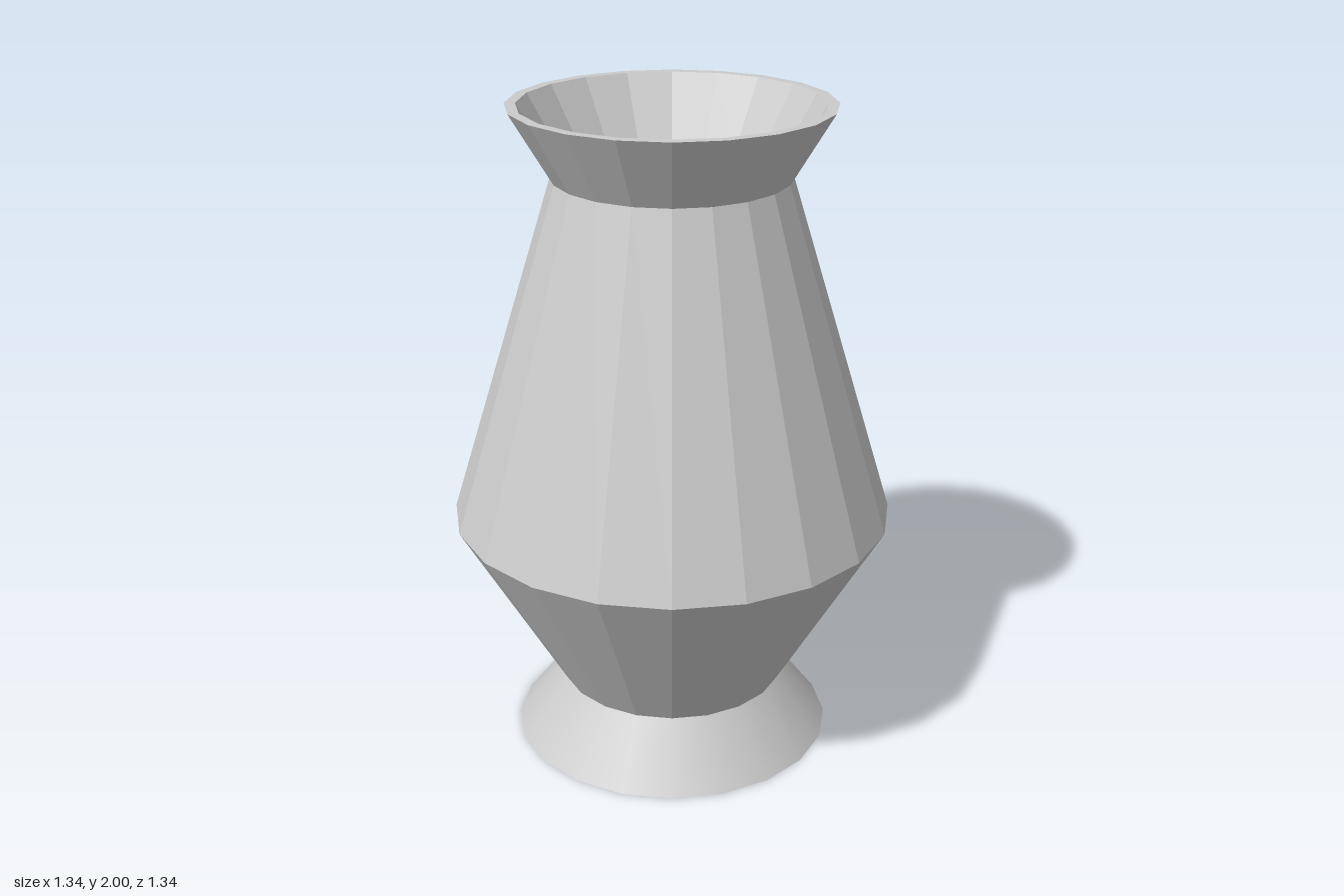
import * as THREE from 'three';

const SIDES = 20;

// Faceted ring surface turned around the y axis
function turned(name, profile, material) {
  const points = profile.map(([r, y]) => new THREE.Vector2(r, y));
  const geometry = new THREE.LatheGeometry(points, SIDES).toNonIndexed();
  geometry.computeVertexNormals();
  const mesh = new THREE.Mesh(geometry, material);
  mesh.name = name;
  return mesh;
}

export function createModel() {
  const vase = new THREE.Group();
  vase.name = 'vase';
  const smooth = new THREE.MeshStandardMaterial({ color: 0xcccccc });
  const faceted = new THREE.MeshStandardMaterial({ color: 0xcccccc, flatShading: true });

  // Smooth flared foot, closed underneath
  const foot = new THREE.Mesh(new THREE.CylinderGeometry(0.35, 0.495, 0.19, SIDES), smooth);
  foot.name = 'foot';
  foot.position.y = 0.095;
  vase.add(foot);

  // Outer wall: belly, shoulder and flared neck
  vase.add(turned('outerWall', [[0.35, 0.19], [0.67, 0.745], [0.35, 1.79], [0.475, 2]], faceted));

  // Flat lip around the opening
  vase.add(turned('rim', [[0.475, 2], [0.443, 2]], faceted));

  // Hollow inside, following the outer wall
  vase.add(turned('innerWall', [[0.443, 2], [0.318, 1.79], [0.635, 0.745], [0.33, 0.22]], faceted));

  // Floor of the hollow
  const floor = new THREE.Mesh(new THREE.CircleGeometry(0.33, SIDES), faceted);
  floor.name = 'innerFloor';
  floor.rotation.x = -Math.PI / 2;
  floor.position.y = 0.22;
  vase.add(floor);

  return vase;
}
